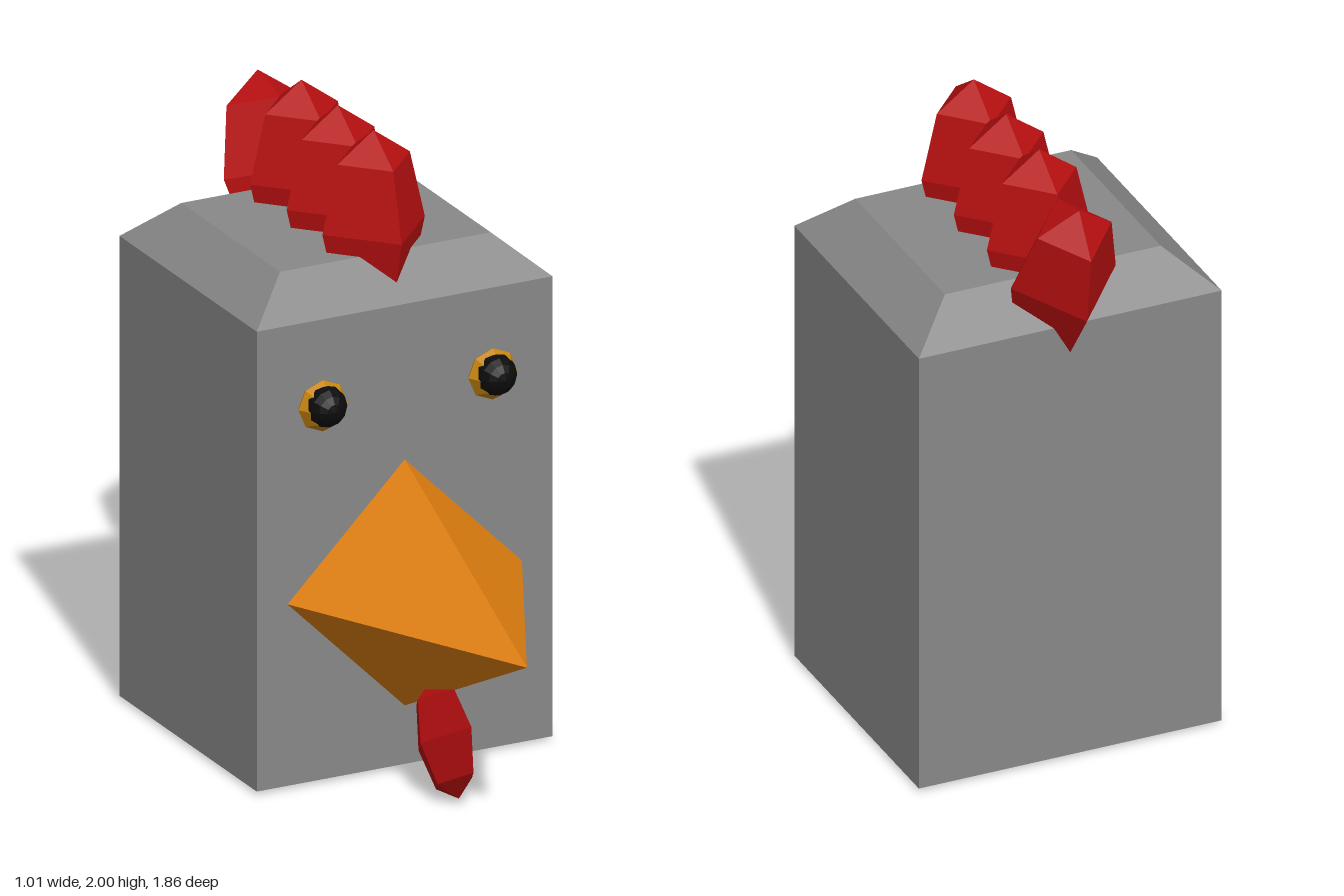
import * as THREE from 'three';

const mat = (name, color) => {
  const m = new THREE.MeshStandardMaterial({ color, flatShading: true });
  m.name = name;
  return m;
};

export function createModel() {
  const grey = mat('grey', 0x888888);
  const orange = mat('orange', 0xe07f10);
  const amber = mat('amber', 0xc8860f);
  const red = mat('red', 0xb80f10);
  const black = mat('black', 0x0c0c0c);

  const model = new THREE.Group();
  model.name = 'bird';
  const add = (name, geometry, material, x, y, z) => {
    const mesh = new THREE.Mesh(geometry, material);
    mesh.name = name;
    mesh.position.set(x, y, z);
    model.add(mesh);
    return mesh;
  };

  // Block body: the top ring is drawn in to make the bevelled crown
  const body = new THREE.BoxGeometry(1.01, 1.62, 0.905, 1, 2, 1);
  const p = body.attributes.position;
  for (let i = 0; i < p.count; i++) {
    if (p.getY(i) > 0.5) p.setXYZ(i, Math.sign(p.getX(i)) * 0.36, 1.63, Math.sign(p.getZ(i)) * 0.325);
    else p.setY(i, p.getY(i) < -0.5 ? 0.01 : 1.505);
  }
  const bodyFlat = body.toNonIndexed();
  bodyFlat.computeVertexNormals();
  add('body', bodyFlat, grey, 0, 0, -0.3225);

  // Four-sided beak
  const beak = new THREE.ConeGeometry(0.4, 0.805, 4).rotateX(Math.PI / 2);
  add('beak', beak, orange, 0, 0.6, 0.5325);

  // Comb lobes and wattle: faceted four-sided spheres
  const lobe = new THREE.SphereGeometry(1, 4, 4);
  const addLobe = (name, y, z, size, tilt) => {
    const mesh = add(name, lobe, red, 0, y, z);
    mesh.scale.set(...size);
    mesh.rotation.x = tilt;
  };
  const combSize = [0.175, 0.31, 0.185];
  [-0.075, -0.31, -0.55].forEach((z, i) => addLobe('combLobe' + (i + 1), 1.69, z, combSize, 0));
  addLobe('combLobe4', 1.646, -0.724, combSize, -0.38);
  addLobe('wattle', 0.183, 0.395, [0.083, 0.187, 0.2], -0.513);

  // Eyes: flattened amber rim with a black pupil in front
  const rim = new THREE.SphereGeometry(0.083, 8, 4).rotateX(Math.PI / 2).scale(1, 1, 0.72);
  const pupil = new THREE.SphereGeometry(0.066, 12, 8).rotateX(Math.PI / 2);
  for (const [side, s] of [['left', 1], ['right', -1]]) {
    add(side + 'EyeRim', rim, amber, s * 0.29, 1.233, 0.15);
    add(side + 'Pupil', pupil, black, s * 0.29, 1.238, 0.169);
  }

  return model;
}
